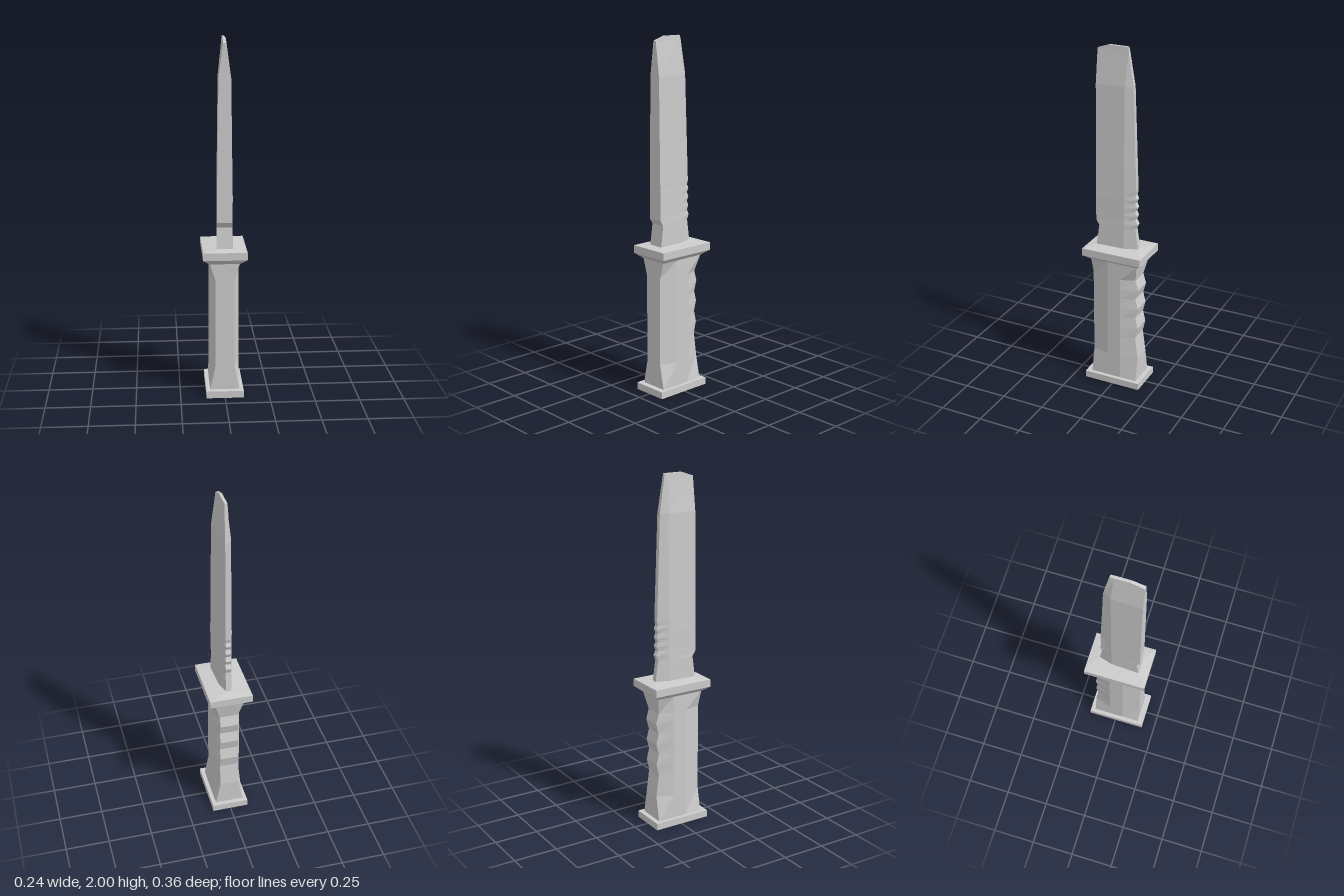
import * as THREE from 'three';

const material = new THREE.MeshStandardMaterial({ color: 0xcccccc, flatShading: true });

// Lofts mirrored rings. Each ring is [y, [halfWidth, z], ...] running from front to back.
function loft(name, rows) {
  const rings = rows.map(([y, ...side]) => [
    ...side.map(([w, z]) => [w, y, z]),
    ...side.slice().reverse().map(([w, z]) => [-w, y, z]),
  ]);
  const n = rings[0].length;
  const pos = [];
  for (let r = 0; r < rings.length - 1; r++) {
    const lo = rings[r], hi = rings[r + 1];
    for (let i = 0; i < n; i++) {
      const j = (i + 1) % n;
      pos.push(...lo[i], ...lo[j], ...hi[j], ...lo[i], ...hi[j], ...hi[i]);
    }
  }
  const bottom = rings[0], top = rings[rings.length - 1];
  for (let i = 1; i < n - 1; i++) {
    pos.push(...bottom[0], ...bottom[i + 1], ...bottom[i]);
    pos.push(...top[0], ...top[i], ...top[i + 1]);
  }
  const geometry = new THREE.BufferGeometry();
  geometry.setAttribute('position', new THREE.Float32BufferAttribute(pos, 3));
  geometry.computeVertexNormals();
  const mesh = new THREE.Mesh(geometry, material);
  mesh.name = name;
  return mesh;
}

export function createModel() {
  const group = new THREE.Group();
  group.name = 'knife';

  // Flat end plate
  const pommel = new THREE.Mesh(new THREE.BoxGeometry(0.21, 0.04, 0.34), material);
  pommel.name = 'pommel';
  pommel.position.set(0, 0.02, 0.005);
  group.add(pommel);

  // Six-sided grip, flared at both ends, with finger grooves: [y, half width of front and back, back z]
  const grip = [
    [0.04, 0.082, -0.138], [0.18, 0.053, -0.138], [0.31, 0.053, -0.121],
    [0.375, 0.053, -0.136], [0.44, 0.053, -0.121], [0.5, 0.053, -0.136],
    [0.56, 0.053, -0.121], [0.62, 0.053, -0.138], [0.68, 0.053, -0.121],
    [0.775, 0.082, -0.14],
  ];
  group.add(loft('handle', grip.map(([y, w, back]) =>
    [y, [w, 0.142], [0.083, 0.04], [0.083, -0.04], [w, back]])));

  // Cross guard: tapered underside, block, and a very shallow slope up to the blade
  group.add(loft('guard', [
    [0.775, [0.083, 0.142], [0.083, -0.14]],
    [0.805, [0.122, 0.178], [0.122, -0.178]],
    [0.848, [0.122, 0.178], [0.122, -0.178]],
    [0.856, [0.045, 0.125], [0.016, -0.118]],
  ]));

  // Blade: [y, front half width, front z, ridge half width, ridge z, back half width, back z]
  const blade = [
    [0.845, 0.045, 0.125, 0.037, -0.04, 0.015, -0.118],
    [0.975, 0.044, 0.108, 0.037, -0.04, 0.015, -0.1],
    [1.005, 0.043, 0.127, 0.037, -0.04, 0.015, -0.112],
  ];
  // Small saw notches on the back
  for (let i = 0; i < 3; i++) {
    const y = 1.03 + i * 0.05;
    blade.push([y, 0.043, 0.127, 0.036, -0.04, 0.015, -0.098]);
    blade.push([y + 0.025, 0.043, 0.127, 0.036, -0.04, 0.015, -0.109]);
  }
  // Straight run and clipped tip
  blade.push(
    [1.175, 0.042, 0.127, 0.036, -0.04, 0.015, -0.099],
    [1.2, 0.042, 0.127, 0.036, -0.04, 0.015, -0.105],
    [1.79, 0.034, 0.127, 0.029, -0.04, 0.013, -0.084],
    [1.977, 0.009, 0.127, 0.01, -0.03, 0.009, -0.054],
    [2.0, 0.008, 0.06, 0.008, -0.02, 0.007, -0.05],
  );
  group.add(loft('blade', blade.map(([y, wf, zf, wm, zm, wb, zb]) =>
    [y, [wf, zf], [wm, zm], [wb, zb]])));

  return group;
}
